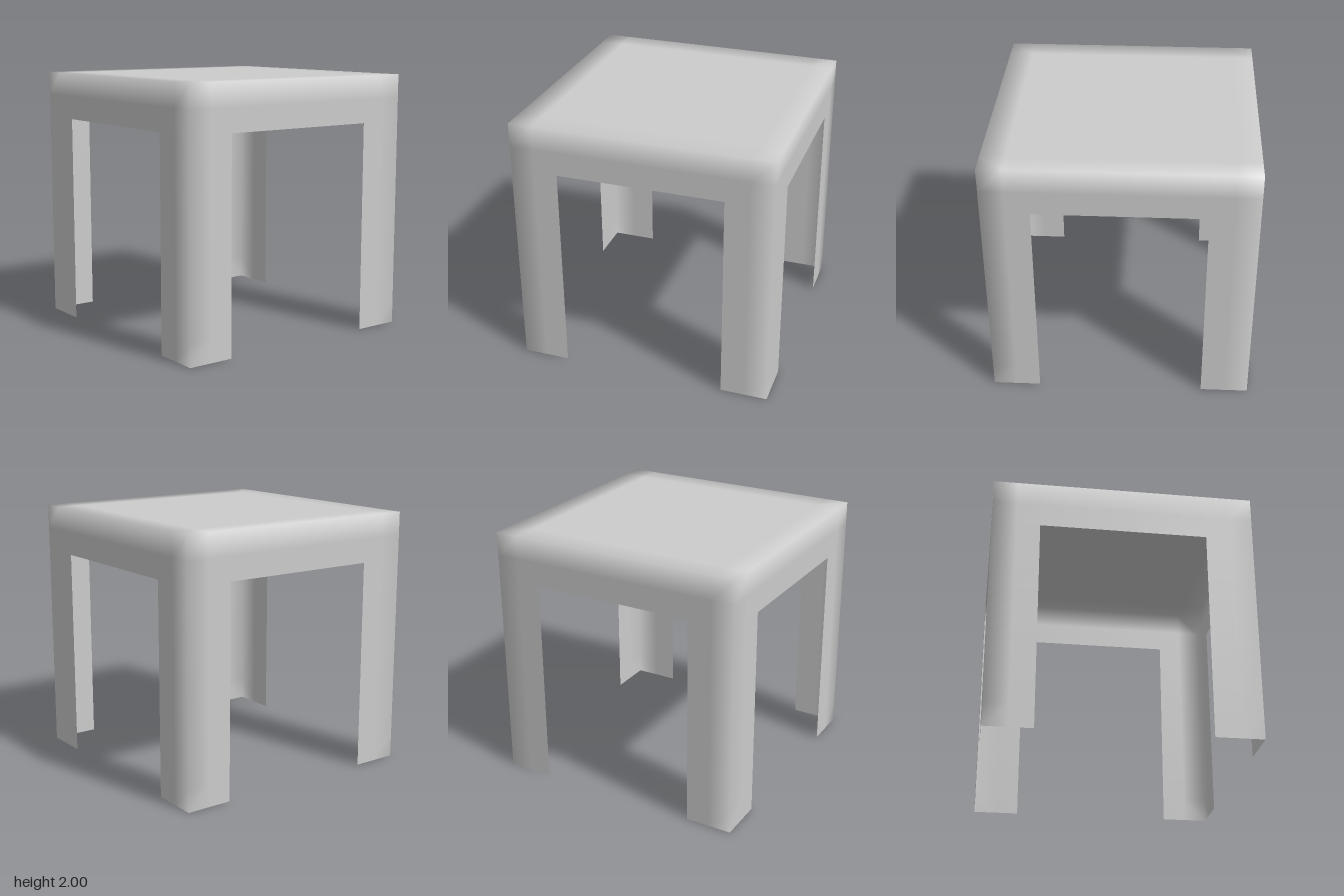
import * as THREE from 'three';
import { mergeVertices } from 'three/addons/utils/BufferGeometryUtils.js';

const CELLS = 11;            // grid cells along each side
const CELL = 2 / CELLS;
const INNER = 1 - 2 * CELL;  // legs are two cells wide
const APRON = 2 - 2 * CELL;  // lower edge of the apron

// Open thin shell: a gridded cube with its floor and four leg openings removed
function shellGeometry() {
  const box = new THREE.BoxGeometry(2, 2, 2, CELLS, CELLS, CELLS).translate(0, 1, 0);
  const pos = box.attributes.position;
  const index = box.index.array;
  const kept = [];
  for (let i = 0; i < index.length; i += 3) {
    const tri = [index[i], index[i + 1], index[i + 2]];
    const mid = new THREE.Vector3();
    tri.forEach((v) => mid.add(new THREE.Vector3().fromBufferAttribute(pos, v)));
    mid.divideScalar(3);
    const isFloor = mid.y < 0.01;
    const isOpening = mid.y < APRON && Math.min(Math.abs(mid.x), Math.abs(mid.z)) < INNER;
    if (!isFloor && !isOpening) kept.push(...tri);
  }
  box.setIndex(kept);

  // Weld the edges so the shading rolls softly over the corners
  box.deleteAttribute('normal');
  box.deleteAttribute('uv');
  const welded = mergeVertices(box, 1e-4);
  welded.computeVertexNormals();
  return welded;
}

export function createModel() {
  const group = new THREE.Group();
  group.name = 'sideTable';
  const material = new THREE.MeshStandardMaterial({ color: 0xcccccc, side: THREE.DoubleSide });
  const shell = new THREE.Mesh(shellGeometry(), material);
  shell.name = 'tableTopAndLegs';
  group.add(shell);
  return group;
}
